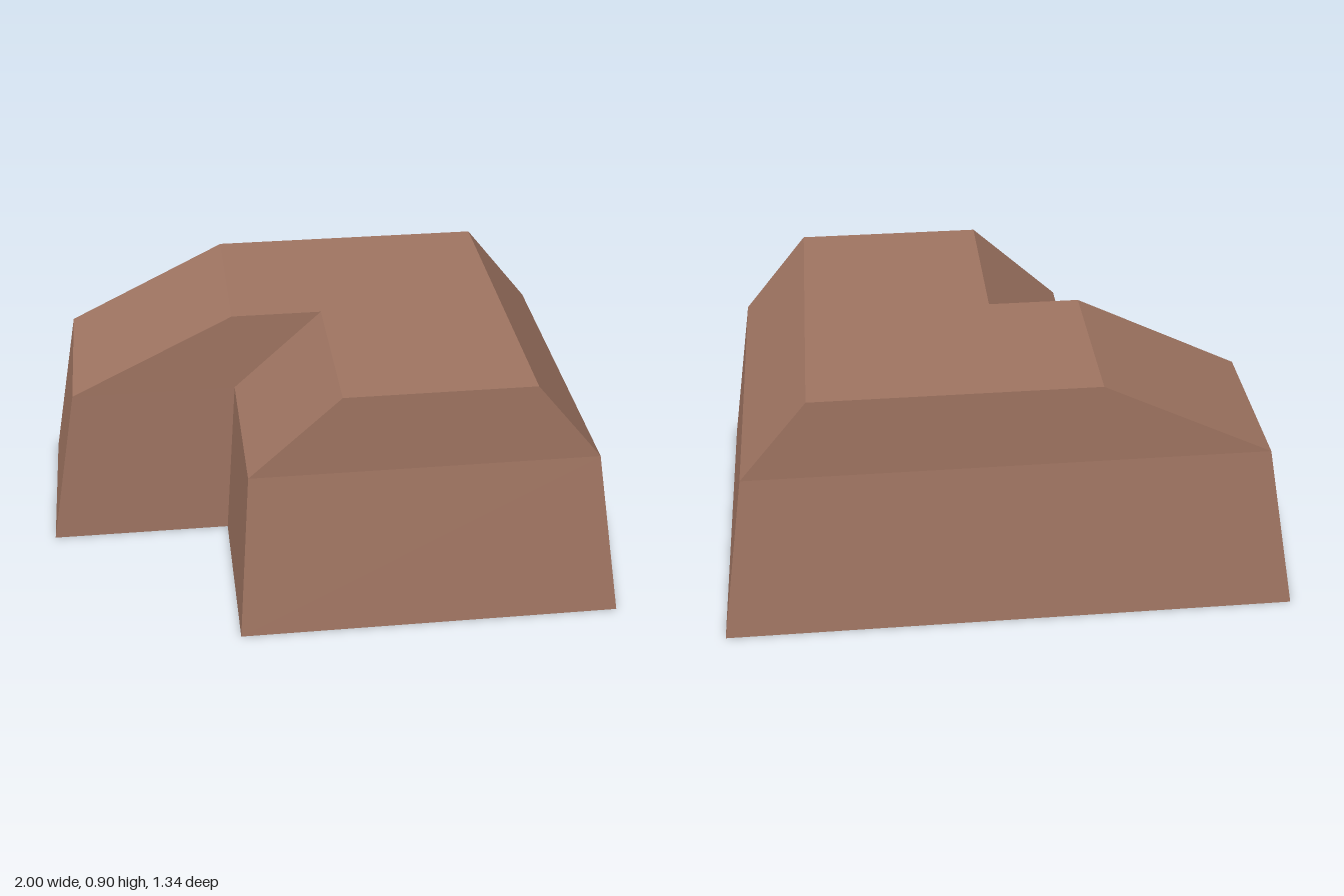
import * as THREE from 'three';

// L-shaped level: back-left corner, then counterclockwise seen from above
function ring(y, left, inner, right, back, notch, front) {
  return [
    [left, back], [left, notch], [inner, notch],
    [inner, front], [right, front], [right, back],
  ].map(([x, z]) => [x, y, z]);
}

// Closed solid through the levels; both caps fan out from the inner corner
function loft(levels) {
  const pos = [];
  const tri = (...corners) => corners.forEach((p) => pos.push(...p));
  const n = levels[0].length;
  for (let k = 0; k < levels.length - 1; k++) {
    const lo = levels[k], hi = levels[k + 1];
    for (let i = 0; i < n; i++) {
      const j = (i + 1) % n;
      tri(lo[i], lo[j], hi[j]);
      tri(lo[i], hi[j], hi[i]);
    }
  }
  const bottom = levels[0], top = levels[levels.length - 1];
  for (let i = 3; i < n + 1; i++) {
    const a = i % n, b = (i + 1) % n;
    tri(top[2], top[a], top[b]);
    tri(bottom[2], bottom[b], bottom[a]);
  }
  const geometry = new THREE.BufferGeometry();
  geometry.setAttribute('position', new THREE.Float32BufferAttribute(pos, 3));
  geometry.computeVertexNormals();
  return geometry;
}

export function createModel() {
  const model = new THREE.Group();
  model.name = 'lShapedBlock';

  const brown = new THREE.MeshStandardMaterial({ color: 0xa07562 });
  brown.name = 'clay brown';

  // Sloped walls up to the shoulder, then a bevelled upper part
  const block = new THREE.Mesh(loft([
    ring(0, -1, -0.345, 1, -0.67, -0.003, 0.67),
    ring(0.613, -0.89, -0.302, 0.905, -0.61, -0.008, 0.6),
    ring(0.905, -0.305, 0.015, 0.67, -0.61, -0.008, 0.6),
  ]), brown);
  block.name = 'block';
  model.add(block);

  return model;
}
